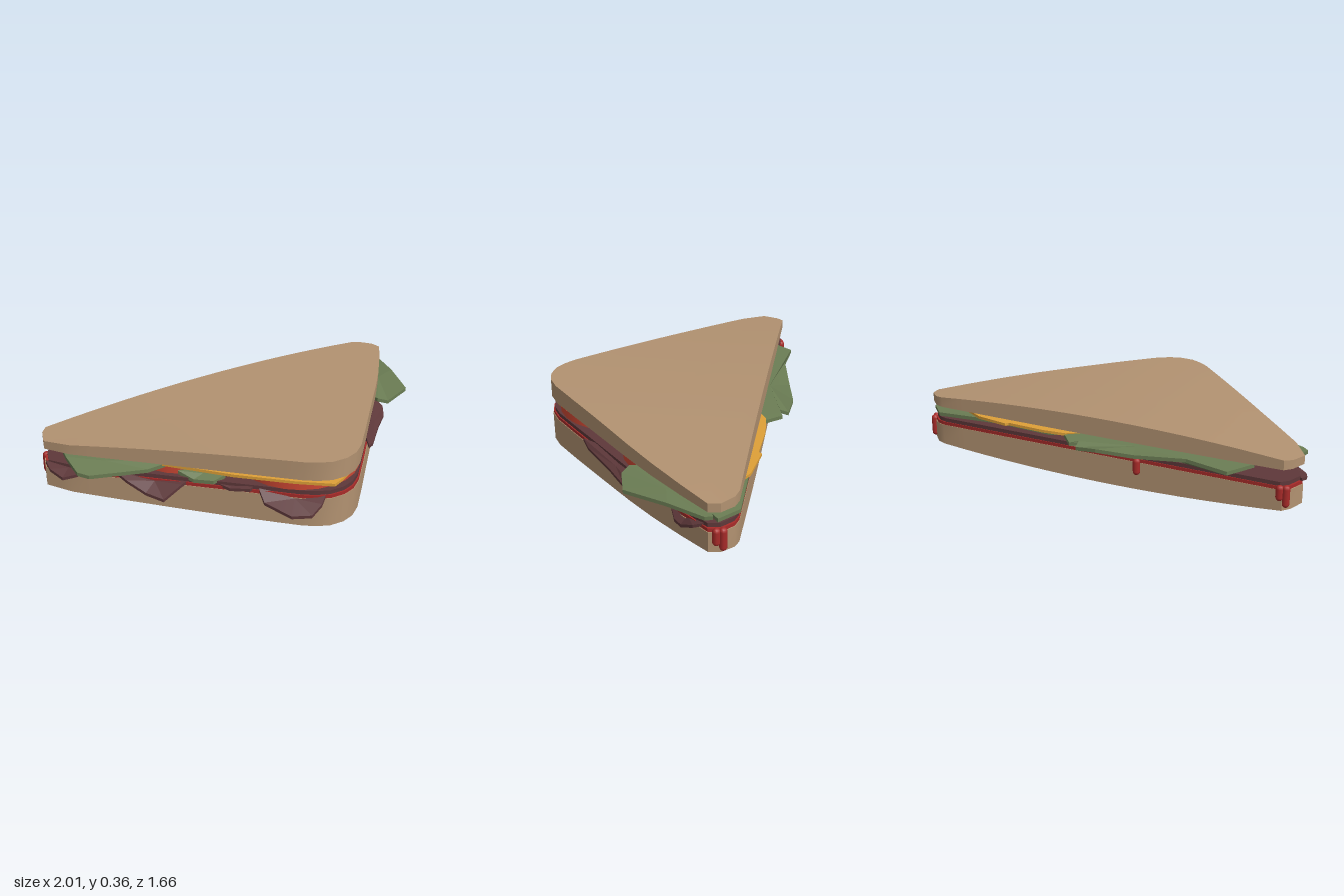
import * as THREE from 'three';
import { toCreasedNormals } from 'three/addons/utils/BufferGeometryUtils.js';

const material = (name, color) => new THREE.MeshStandardMaterial({ name, color });

// Bread plan as [x, z], tip to tip around the crust; the cut edge closes it
const PLAN = [
  [-0.98, 0.29], [-0.99, 0.34], [-0.97, 0.43], [-0.83, 0.49], [-0.45, 0.57], [0, 0.67],
  [0.34, 0.745], [0.41, 0.75], [0.48, 0.742], [0.55, 0.705], [0.6, 0.65], [0.635, 0.57],
  [0.68, 0.38], [0.72, 0.2], [0.8, -0.15], [0.84, -0.35], [0.875, -0.57], [0.9, -0.765],
  [0.86, -0.81], [0.78, -0.825], [0.73, -0.81],
];

// Split long edges so curved faces bend smoothly
function subdivide(plan, step) {
  return plan.flatMap((a, i) => {
    const b = plan[(i + 1) % plan.length];
    const n = Math.ceil(Math.hypot(b[0] - a[0], b[1] - a[1]) / step);
    return Array.from({ length: n }, (_, k) => a.map((v, j) => v + (b[j] - v) * k / n));
  });
}

const scalePlan = (plan, s) => plan.map(([x, z]) => [0.1 + (x - 0.1) * s, 0.08 + (z - 0.08) * s]);

// Closed body over an outline of [x, z, y]; bottom and top give heights
function solid(outline, bottom, top, rings, crease) {
  const pts = outline.map(([x, z, y = 0]) => [x, z, y]);
  if (THREE.ShapeUtils.area(pts.map(([x, z]) => new THREE.Vector2(x, z))) > 0) pts.reverse();
  const n = pts.length;
  const mid = [0, 1, 2].map(j => pts.reduce((s, p) => s + p[j], 0) / n);
  const pos = [], index = [];
  const addFace = height => {
    const start = pos.length / 3;
    for (let r = 0; r < rings; r++) {
      for (const p of pts) {
        const [x, z, y] = p.map((v, j) => v + (mid[j] - v) * r / rings);
        pos.push(x, height(x, z, y), z);
      }
    }
    pos.push(mid[0], height(...mid), mid[1]);
    return start;
  };
  const a = addFace(top), b = addFace(bottom);
  for (let i = 0; i < n; i++) {
    const j = (i + 1) % n;
    for (let r = 0; r < rings; r++) {
      const o = r * n, q = o + n;
      if (r === rings - 1) {
        index.push(a + o + i, a + o + j, a + q, b + o + j, b + o + i, b + q);
      } else {
        index.push(a + o + i, a + o + j, a + q + j, a + o + i, a + q + j, a + q + i);
        index.push(b + o + j, b + o + i, b + q + j, b + q + j, b + o + i, b + q + i);
      }
    }
    index.push(b + i, b + j, a + j, b + i, a + j, a + i);
  }
  const g = new THREE.BufferGeometry();
  g.setAttribute('position', new THREE.Float32BufferAttribute(pos, 3));
  g.setIndex(index);
  return toCreasedNormals(g, crease);
}

const slab = (plan, y0, y1) => solid(plan, () => y0, () => y1, 1, 0.5);
const sheet = (points, t) => solid(points, (x, z, y) => y - t / 2, (x, z, y) => y + t / 2, 1, 0.05);

export function createModel() {
  const group = new THREE.Group();
  const bread = material('bread', 0xb29271);
  const sauce = material('sauce', 0xa82b29);
  const meat = material('meat', 0x5e383a);
  const tomato = material('tomato', 0xcc4733);
  const cheese = material('cheese', 0xdea038);
  const lettuce = material('lettuce', 0x6b7d54);
  const add = (name, geometry, mat) => {
    const mesh = new THREE.Mesh(geometry, mat);
    mesh.name = name;
    group.add(mesh);
    return mesh;
  };

  // Bread slices thin out towards the two sharp tips
  const taper = (x, z) => 0.05 * ((0.84 * x - 0.54 * z - 0.07) / 1.08) ** 2;
  const fine = subdivide(PLAN, 0.14);
  add('bottomBread', solid(fine, (x, z) => 0.002 + taper(x, z), () => 0.16, 6, 0.6), bread);
  add('topBread', solid(fine, (x, z) => 0.264 + 0.1 * taper(x, z),
    (x, z) => 0.367 - taper(x, z), 6, 0.6), bread);

  // Sauce layer with drips at the tips and along the cut
  add('sauceLayer', slab(scalePlan(PLAN, 0.995), 0.158, 0.178), sauce);
  const drips = [[-0.985, 0.31, 0.065], [-0.965, 0.285, 0.1], [0.85, -0.815, 0.06],
    [0.875, -0.795, 0.09], [-0.31, -0.145, 0.09]];
  for (const [x, z, y] of drips) {
    const r = 0.02, len = 0.185 - y;
    add('sauceDrip', new THREE.CapsuleGeometry(r, len - 2 * r, 4, 8), sauce)
      .position.set(x, y + len / 2, z);
  }

  // Sliced meat with flaps folded over the crust
  add('meatLayer', slab(scalePlan(PLAN, 0.985), 0.176, 0.2), meat);
  const flaps = [
    [[-0.6, 0.53, 0.185], [-0.54, 0.58, 0.16], [-0.44, 0.635, 0.12], [-0.35, 0.675, 0.105],
      [-0.26, 0.63, 0.165], [-0.2, 0.58, 0.185], [-0.4, 0.45, 0.19]],
    [[0.12, 0.68, 0.185], [0.15, 0.745, 0.13], [0.28, 0.825, 0.1], [0.38, 0.825, 0.105],
      [0.43, 0.785, 0.145], [0.46, 0.72, 0.18], [0.28, 0.58, 0.19]],
    [[-0.97, 0.42, 0.185], [-0.94, 0.48, 0.17], [-0.87, 0.535, 0.15], [-0.8, 0.53, 0.165],
      [-0.7, 0.5, 0.185], [-0.8, 0.4, 0.19]],
    [[0.72, 0.27, 0.185], [0.75, 0.2, 0.165], [0.81, -0.02, 0.155], [0.86, -0.18, 0.14],
      [0.86, -0.24, 0.165], [0.82, -0.3, 0.185], [0.7, -0.05, 0.19]],
    [[0.85, -0.48, 0.18], [0.895, -0.55, 0.13], [0.905, -0.6, 0.125], [0.91, -0.68, 0.16],
      [0.88, -0.74, 0.185], [0.75, -0.6, 0.19]],
    [[-0.15, 0.6, 0.19], [-0.02, 0.675, 0.17], [0.08, 0.7, 0.18], [0.12, 0.65, 0.19],
      [0, 0.5, 0.195]],
  ];
  for (const flap of flaps) add('meatFlap', sheet(flap, 0.016), meat);

  // Tomato slices
  for (const [x, z, r] of [[0.33, 0.41, 0.32], [-0.26, 0.27, 0.3], [0.5, -0.2, 0.28]]) {
    add('tomatoSlice', new THREE.CylinderGeometry(r, r, 0.046, 24), tomato).position.set(x, 0.223, z);
  }

  // Cheese slice poking out at the front corner and the cut
  add('cheeseSlice', slab([[-0.36, 0.57], [0, 0.685], [0.3, 0.75], [0.49, 0.775], [0.53, 0.725],
    [0.62, 0.58], [0.69, 0.25], [0.77, -0.2], [0.76, -0.7], [0.5, -0.685], [0.32, -0.605],
    [0.32, -0.585], [0.13, -0.475], [0.02, -0.39], [-0.2, 0.1]], 0.247, 0.262), cheese);

  // Crumpled lettuce leaves
  const leaves = [
    [[-0.8, 0.08, 0.23], [-0.6, -0.03, 0.25], [-0.4, -0.22, 0.24], [-0.25, -0.36, 0.25],
      [-0.14, -0.415, 0.235], [-0.11, -0.38, 0.25], [-0.08, -0.42, 0.24], [0.1, -0.375, 0.25],
      [0.05, 0, 0.25], [-0.4, 0.25, 0.25], [-0.8, 0.25, 0.235]],
    [[0.05, -0.37, 0.25], [0.12, -0.43, 0.235], [0.4, -0.61, 0.245], [0.74, -0.825, 0.225],
      [0.87, -0.8, 0.225], [0.8, -0.5, 0.25], [0.4, -0.3, 0.25]],
    [[0.88, -0.78, 0.235], [0.905, -0.75, 0.23], [0.95, -0.56, 0.245], [1, -0.32, 0.24],
      [0.88, -0.185, 0.225], [0.82, -0.18, 0.24], [0.68, -0.35, 0.252], [0.75, -0.6, 0.25]],
    [[-0.88, 0.42, 0.25], [-0.85, 0.5, 0.25], [-0.78, 0.615, 0.225], [-0.72, 0.635, 0.218],
      [-0.43, 0.585, 0.225], [-0.3, 0.54, 0.25], [-0.55, 0.35, 0.252]],
    [[-0.28, 0.58, 0.215], [-0.2, 0.625, 0.19], [-0.1, 0.65, 0.195], [-0.04, 0.62, 0.215],
      [-0.15, 0.5, 0.22]],
  ];
  for (const leaf of leaves) add('lettuceLeaf', sheet(leaf, 0.02), lettuce);

  return group;
}
